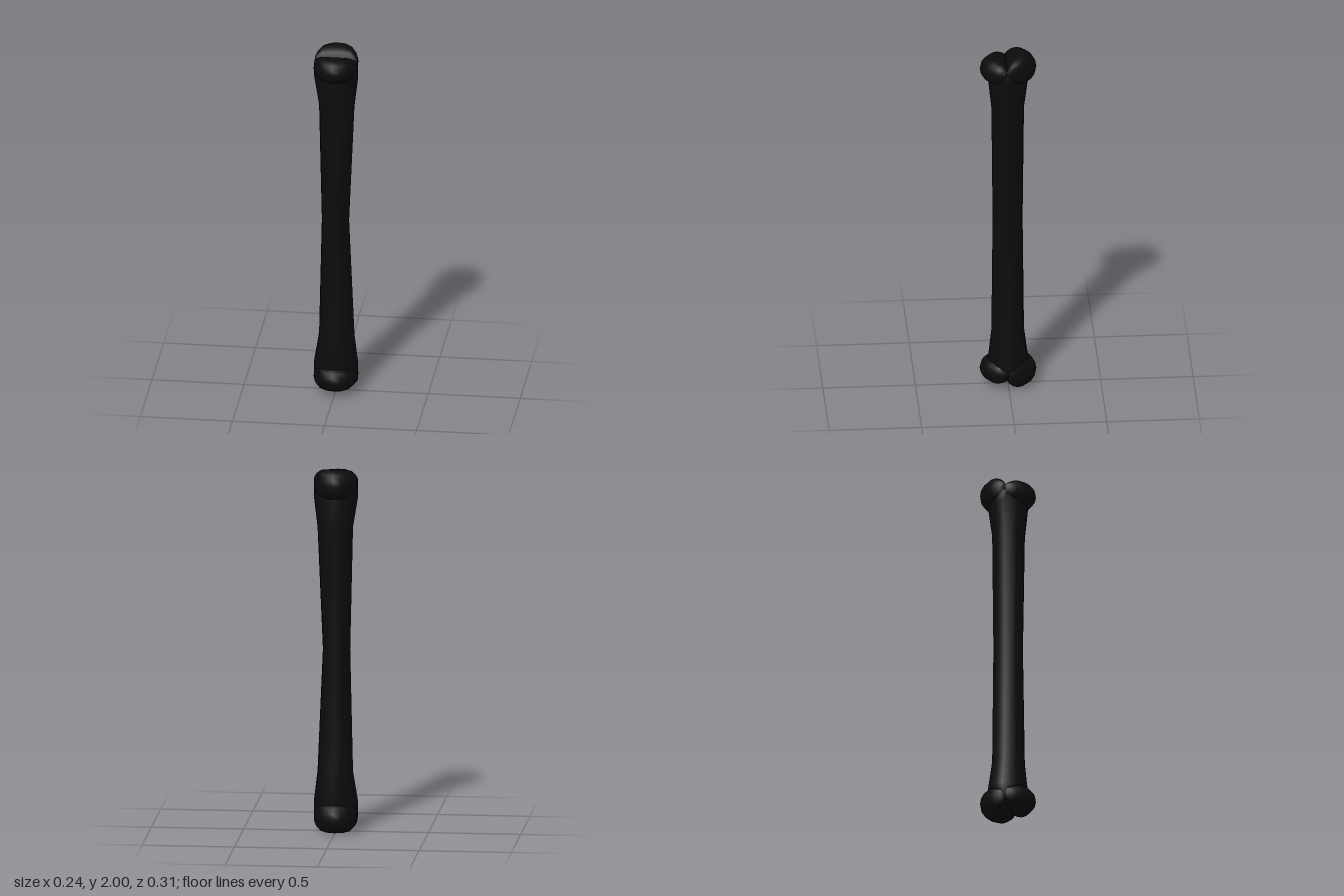
import * as THREE from 'three';

const SIDES = 16;
const material = new THREE.MeshStandardMaterial({ color: 0x0b0b0b });

// Skins a row of closed rings; ring(i, angle) returns a point, both ends are capped.
function loft(name, count, ring, centre) {
  const pos = [], idx = [];
  for (let i = 0; i < count; i++)
    for (let j = 0; j < SIDES; j++) pos.push(...ring(i, (j / SIDES) * Math.PI * 2));
  for (let i = 0; i < count - 1; i++)
    for (let j = 0; j < SIDES; j++) {
      const k = (j + 1) % SIDES;
      const a = i * SIDES + j, b = i * SIDES + k, c = a + SIDES, d = b + SIDES;
      idx.push(a, b, d, a, d, c);
    }
  const first = count * SIDES, last = first + 1, end = (count - 1) * SIDES;
  pos.push(...centre(0), ...centre(count - 1));
  for (let j = 0; j < SIDES; j++) {
    const k = (j + 1) % SIDES;
    idx.push(first, k, j, last, end + j, end + k);
  }
  const geo = new THREE.BufferGeometry();
  geo.setAttribute('position', new THREE.Float32BufferAttribute(pos, 3));
  geo.setIndex(idx);
  geo.computeVertexNormals();
  const mesh = new THREE.Mesh(geo, material);
  mesh.name = name;
  return mesh;
}

// Shaft: height, x centre, x radius, z centre, z radius; flared to both ends
function shaft() {
  const half = [
    [1, -0.003, 0.074, 0.002, 0.081],
    [1.67, 0.004, 0.096, 0.002, 0.088],
    [1.84, 0, 0.12, 0, 0.108],
    [1.89, 0, 0.119, 0.005, 0.08],
    [1.935, 0, 0.112, 0.01, 0.02],
  ];
  const lower = half.slice(1).reverse().map(([y, ...r]) => [2 - y, ...r]);
  const rows = [...lower, ...half];
  return loft('shaft', rows.length,
    (i, a) => {
      const [y, cx, rx, cz, rz] = rows[i];
      return [cx + rx * Math.sin(a), y, cz + rz * Math.cos(a)];
    },
    (i) => [rows[i][1], rows[i][0], rows[i][3]]);
}

// Knuckle: an oval roll along x that shrinks to its ends, its inner edge staying put
function knuckle(name, inner, dir, cy, rz, ry) {
  // x, depth scale, height scale
  const half = [[0, 1, 1], [0.04, 0.95, 0.985], [0.077, 0.76, 0.9], [0.104, 0.52, 0.62], [0.115, 0.35, 0.38]];
  const rows = [...half.slice(1).reverse().map(([x, s, t]) => [-x, s, t]), ...half];
  const cz = (i) => inner + dir * rz * rows[i][1];
  return loft(name, rows.length,
    (i, a) => [
      rows[i][0],
      cy + ry * rows[i][2] * Math.cos(a),
      cz(i) + rz * rows[i][1] * Math.sin(a),
    ],
    (i) => [rows[i][0], cy, cz(i)]);
}

export function createModel() {
  const group = new THREE.Group();
  group.name = 'bone';
  group.add(shaft());
  // Two knuckles on each end, the back one larger
  for (const [end, place] of [['upper', (y) => y], ['lower', (y) => 2 - y]]) {
    group.add(knuckle(end + 'BackKnuckle', 0.015, -1, place(1.915), 0.084, 0.085));
    group.add(knuckle(end + 'FrontKnuckle', -0.003, 1, place(1.905), 0.078, 0.069));
  }
  return group;
}
